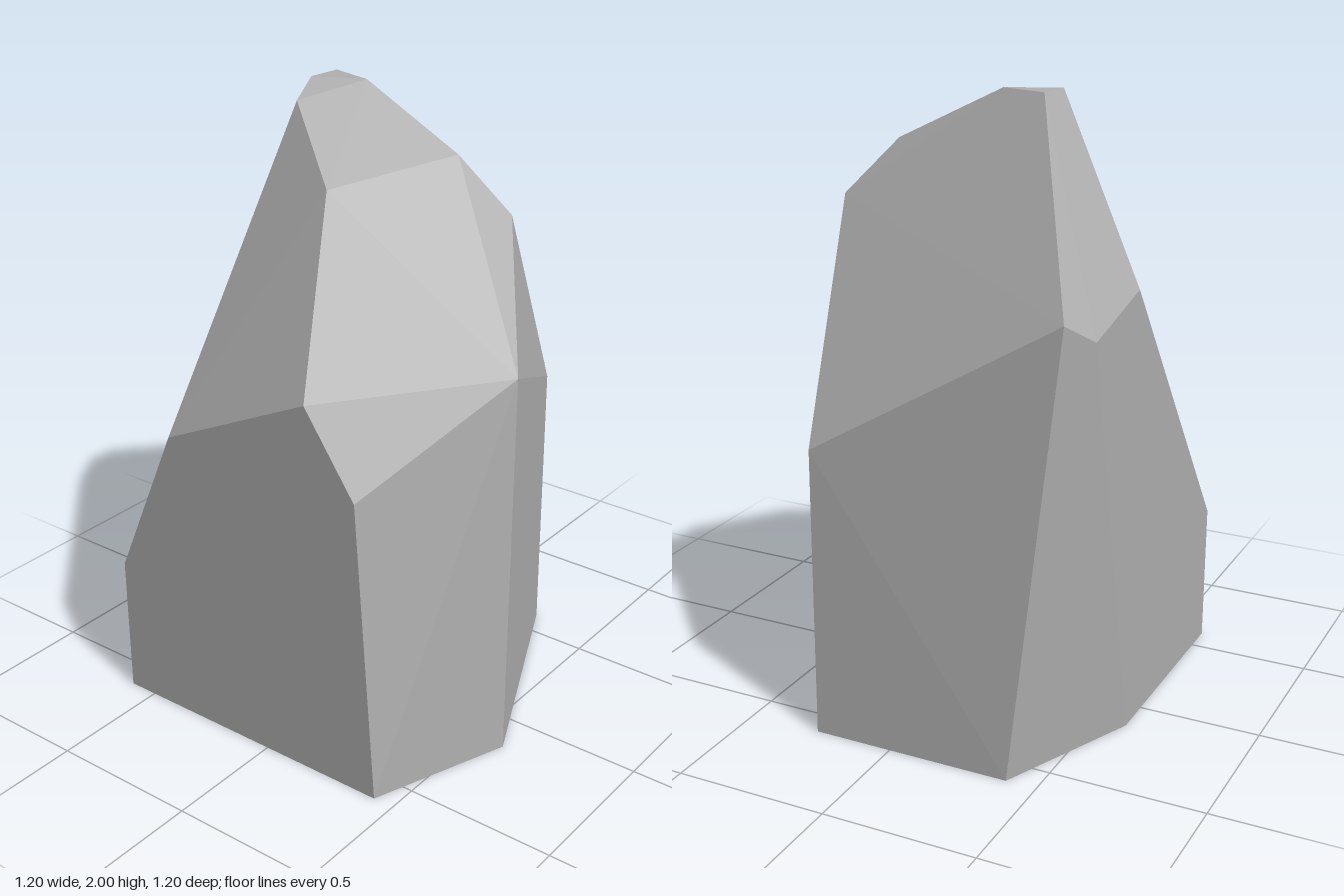
import * as THREE from 'three';
import { ConvexGeometry } from 'three/addons/geometries/ConvexGeometry.js';

export function createModel() {
  const group = new THREE.Group();
  group.name = 'rock';

  const stone = new THREE.MeshStandardMaterial({ color: 0xb0b0b0 });
  stone.name = 'grey stone';

  // Footprint on the ground
  const base = [
    [-0.6, 0, 0.6], [0.43, 0, 0.6], [0.6, 0, 0.14],
    [0.26, 0, -0.6], [-0.4, 0, -0.6], [-0.6, 0, -0.13],
  ];
  // Shoulder where the upright sides meet the sloping cuts
  const shoulder = [
    [-0.6, 0.47, 0.6], [-0.365, 1.0, 0.6], [0.18, 1.26, 0.6], [0.36, 1.0, 0.6],
    [0.6, 1.29, 0.13], [0.26, 0.95, -0.6], [-0.55, 1.43, -0.565],
    [-0.6, 1.36, -0.45], [-0.6, 1.435, -0.125],
  ];
  // Faceted crown and small flat tip
  const crown = [
    [0.005, 1.78, 0.265], [-0.26, 1.965, 0.075], [0.19, 1.825, -0.14], [0.35, 1.65, -0.2],
    [-0.325, 2.0, -0.075], [-0.165, 2.0, -0.15], [-0.315, 2.0, -0.19],
  ];

  // Flat-faced hull around the three rings of corners
  const corners = [...base, ...shoulder, ...crown].map((p) => new THREE.Vector3(...p));
  const boulder = new THREE.Mesh(new ConvexGeometry(corners), stone);
  boulder.name = 'boulder';
  group.add(boulder);
  return group;
}
